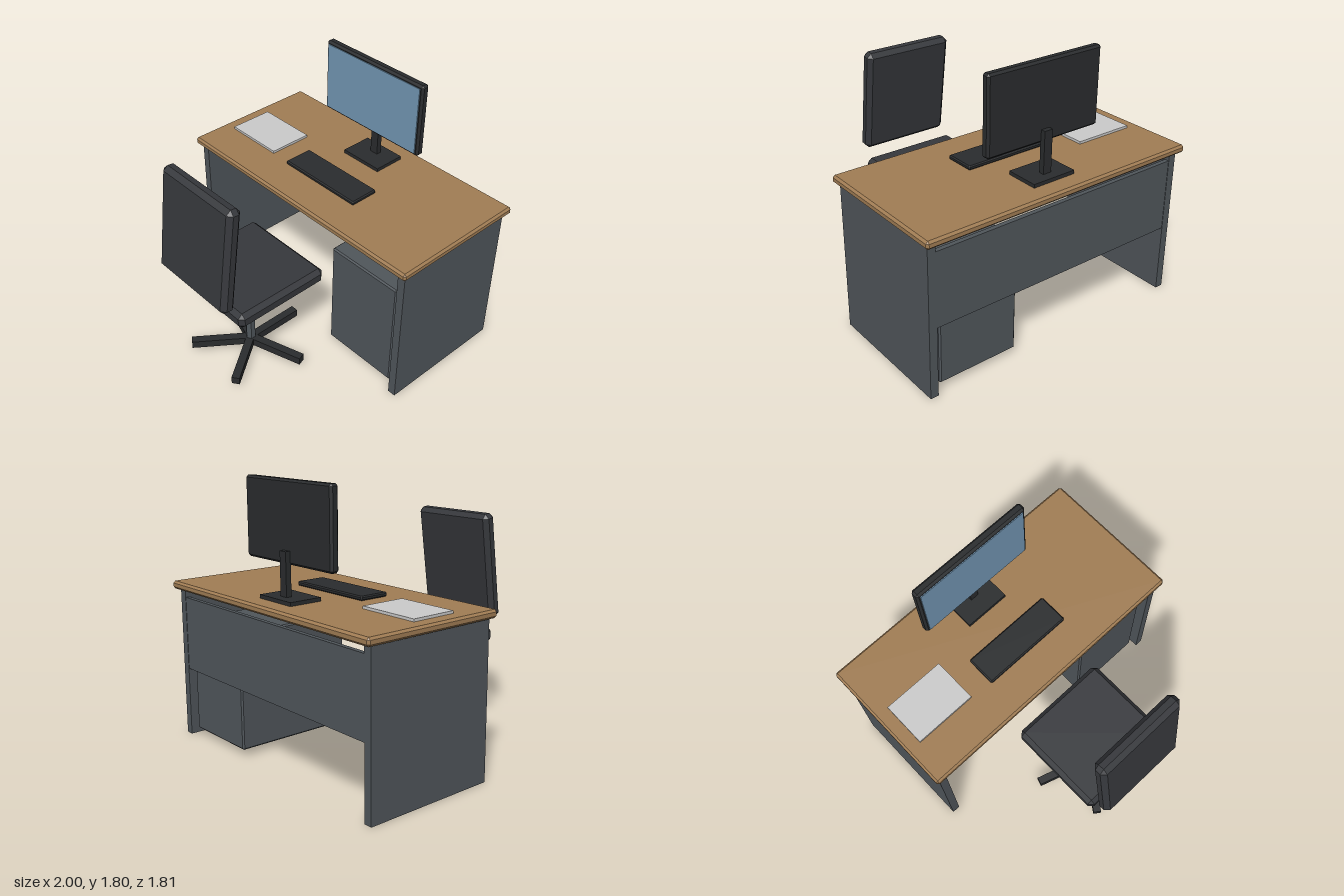
import * as THREE from 'three';
import { ConvexGeometry } from 'three/addons/geometries/ConvexGeometry.js';

const paint = (color) => new THREE.MeshStandardMaterial({ color });

// Box with every edge cut at 45 degrees by c
function chamferBox(w, h, d, c) {
  const points = [];
  const [x, y, z] = [w / 2, h / 2, d / 2];
  for (const i of [-1, 1]) for (const j of [-1, 1]) for (const k of [-1, 1]) {
    points.push(
      new THREE.Vector3(i * x, j * (y - c), k * (z - c)),
      new THREE.Vector3(i * (x - c), j * y, k * (z - c)),
      new THREE.Vector3(i * (x - c), j * (y - c), k * z));
  }
  return new ConvexGeometry(points);
}

// Box from its x, y and z ranges, chamfered when c is given
function block(parent, name, material, [x0, x1], [y0, y1], [z0, z1], c = 0) {
  const size = [x1 - x0, y1 - y0, z1 - z0];
  const geometry = c ? chamferBox(...size, c) : new THREE.BoxGeometry(...size);
  const mesh = new THREE.Mesh(geometry, material);
  mesh.name = name;
  mesh.position.set((x0 + x1) / 2, (y0 + y1) / 2, (z0 + z1) / 2);
  parent.add(mesh);
  return mesh;
}

function subgroup(parent, name) {
  const group = new THREE.Group();
  group.name = name;
  parent.add(group);
  return group;
}

export function createModel() {
  const model = new THREE.Group();
  model.name = 'officeDesk';
  const wood = paint(0xa17d54);
  const metal = paint(0x50565b);
  const plastic = paint(0x2a2c2e);
  const fabric = paint(0x36383c);
  const glass = paint(0x7397b4);
  const white = paint(0xd8d8d4);

  // Desk: top, side panels, back panel and drawer cabinet
  const desk = subgroup(model, 'desk');
  block(desk, 'deskTop', wood, [-1, 1], [1.02, 1.073], [-0.905, 0.09], 0.014);
  block(desk, 'rightSidePanel', metal, [-0.97, -0.915], [0, 1.02], [-0.86, 0.05]);
  block(desk, 'leftSidePanel', metal, [0.915, 0.97], [0, 1.02], [-0.86, 0.05]);
  block(desk, 'backPanel', metal, [-0.915, 0.915], [0.47, 0.965], [-0.857, -0.827]);
  block(desk, 'drawerCabinet', metal, [0.32, 0.88], [0.045, 0.825], [-0.827, 0.01], 0.01);

  // Monitor on its stand
  const monitor = subgroup(model, 'monitor');
  block(monitor, 'monitorFoot', plastic, [-0.157, 0.157], [1.073, 1.097], [-0.777, -0.55]);
  block(monitor, 'monitorNeck', plastic, [-0.03, 0.03], [1.097, 1.375], [-0.712, -0.675]);
  block(monitor, 'monitorFrame', plastic, [-0.425, 0.425], [1.29, 1.8], [-0.68, -0.62], 0.014);
  block(monitor, 'screen', glass, [-0.403, 0.403], [1.312, 1.78], [-0.63, -0.614]);

  // Things lying on the desk
  block(model, 'keyboard', plastic, [-0.32, 0.32], [1.073, 1.102], [-0.37, -0.16], 0.008);
  block(model, 'paperStack', white, [-0.903, -0.475], [1.073, 1.09], [-0.492, -0.182]);

  // Chair: cushion, tilted backrest, column and star base
  const chair = subgroup(model, 'chair');
  block(chair, 'seat', fabric, [-0.355, 0.355], [0.62, 0.73], [0.11, 0.797], 0.03);
  const backrest = block(chair, 'backrest', fabric,
    [-0.327, 0.327], [0.778, 1.509], [0.763, 0.863], 0.03);
  backrest.rotation.x = -0.13;

  const column = new THREE.Mesh(new THREE.CylinderGeometry(0.034, 0.034, 0.54, 6), metal);
  column.material = metal.clone();
  column.material.flatShading = true;
  column.name = 'chairColumn';
  column.position.set(0, 0.35, 0.455);
  chair.add(column);

  const base = subgroup(chair, 'starBase');
  base.position.set(0, 0, 0.455);
  for (let i = 0; i < 5; i++) {
    const spoke = subgroup(base, 'spoke');
    spoke.rotation.y = (i * Math.PI * 2) / 5;
    block(spoke, 'spokeBar', plastic, [-0.027, 0.027], [0.048, 0.102], [-0.4, 0]);
  }
  return model;
}
